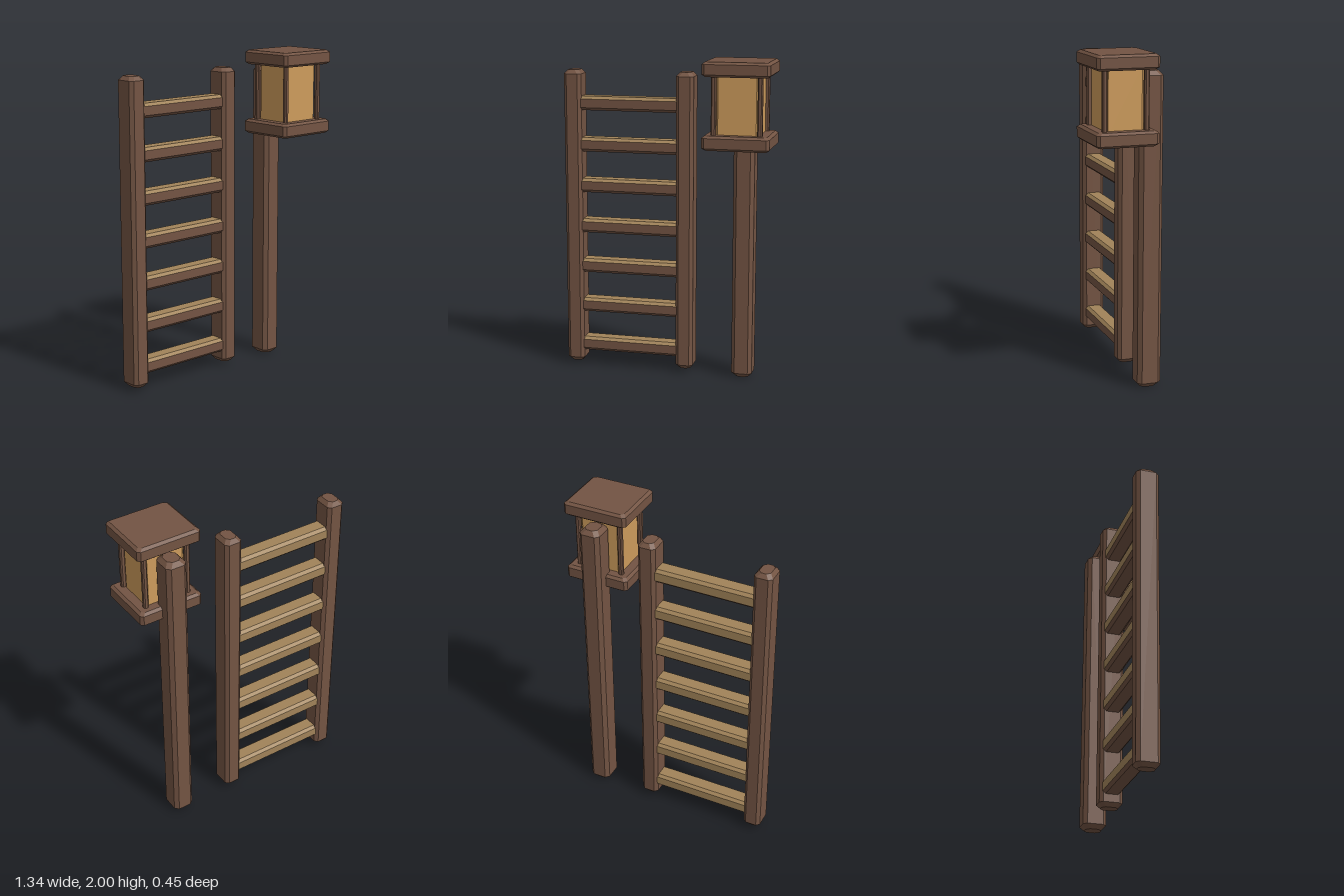
import * as THREE from 'three';
import { ConvexGeometry } from 'three/addons/geometries/ConvexGeometry.js';

const mat = (name, color) => {
  const m = new THREE.MeshStandardMaterial({ color });
  m.name = name;
  return m;
};

// Upright beam with cut corners (octagonal section) and bevelled ends
function beam(w, h, d, cut, inset, bevel) {
  const pts = [];
  const ring = (y, a, b) => {
    for (const sx of [-1, 1]) for (const sz of [-1, 1]) {
      pts.push(new THREE.Vector3(sx * a, y, sz * (b - cut)));
      pts.push(new THREE.Vector3(sx * (a - cut), y, sz * b));
    }
  };
  for (const s of [-1, 1]) {
    ring(s * h / 2, w / 2 - inset, d / 2 - inset);
    if (bevel > 0) ring(s * (h / 2 - bevel), w / 2, d / 2);
  }
  return new ConvexGeometry(pts);
}

// Assign one of two materials to each triangle by its normal
function splitByNormal(geo, isSecond) {
  const n = geo.attributes.normal;
  for (let i = 0; i < n.count; i += 3) {
    geo.addGroup(i, 3, isSecond(n.getX(i), n.getY(i), n.getZ(i)) ? 1 : 0);
  }
  return geo;
}

export function createModel() {
  const wood = mat('dark wood', 0x735443);
  const lightWood = mat('light worn wood', 0xa18359);
  const glow = mat('amber glass', 0xcd9b5c);

  const model = new THREE.Group();
  const add = (parent, name, geo, material, x, y, z) => {
    const mesh = new THREE.Mesh(geo, material);
    mesh.name = name;
    mesh.position.set(x, y, z);
    parent.add(mesh);
  };

  // Ladder: two side rails and seven rungs
  const ladder = new THREE.Group();
  ladder.name = 'ladder';
  const rail = beam(0.11, 1.88, 0.14, 0.02, 0.02, 0.025);
  add(ladder, 'rightRail', rail, wood, -0.617, 0.965, -0.155);
  add(ladder, 'leftRail', rail, wood, 0.097, 0.965, -0.155);

  // Rungs are worn light on the top and back, dark on the front and underside
  const rung = splitByNormal(
    beam(0.088, 0.64, 0.11, 0.017, 0, 0).rotateZ(Math.PI / 2),
    (x, y, z) => y > 0.1 || (z < -0.1 && y > -0.1)
  );
  for (let i = 0; i < 7; i++) {
    add(ladder, 'rung', rung, [wood, lightWood], -0.26, 0.142 + i * 0.2595, -0.155);
  }
  model.add(ladder);

  // Lantern on its own post
  const lantern = new THREE.Group();
  lantern.name = 'lantern';
  const cx = 0.468, cz = 0.036;
  add(lantern, 'lanternPost', beam(0.13, 1.89, 0.145, 0.023, 0.023, 0.027), wood, cx, 0.945, -0.152);
  const slab = beam(0.404, 0.088, 0.37, 0.017, 0.017, 0.014);
  add(lantern, 'lanternBase', slab, wood, cx, 1.526, cz);
  add(lantern, 'lanternRoof', slab, wood, cx, 1.956, cz);
  add(lantern, 'glassBody', beam(0.264, 0.38, 0.236, 0.018, 0, 0), glow, cx, 1.74, cz);

  // Corner bars around the glass
  const bar = beam(0.03, 0.38, 0.03, 0.007, 0, 0);
  for (const sx of [-1, 1]) for (const sz of [-1, 1]) {
    add(lantern, 'cornerBar', bar, wood, cx + sx * 0.138, 1.74, cz + sz * 0.124);
  }
  model.add(lantern);

  return model;
}
